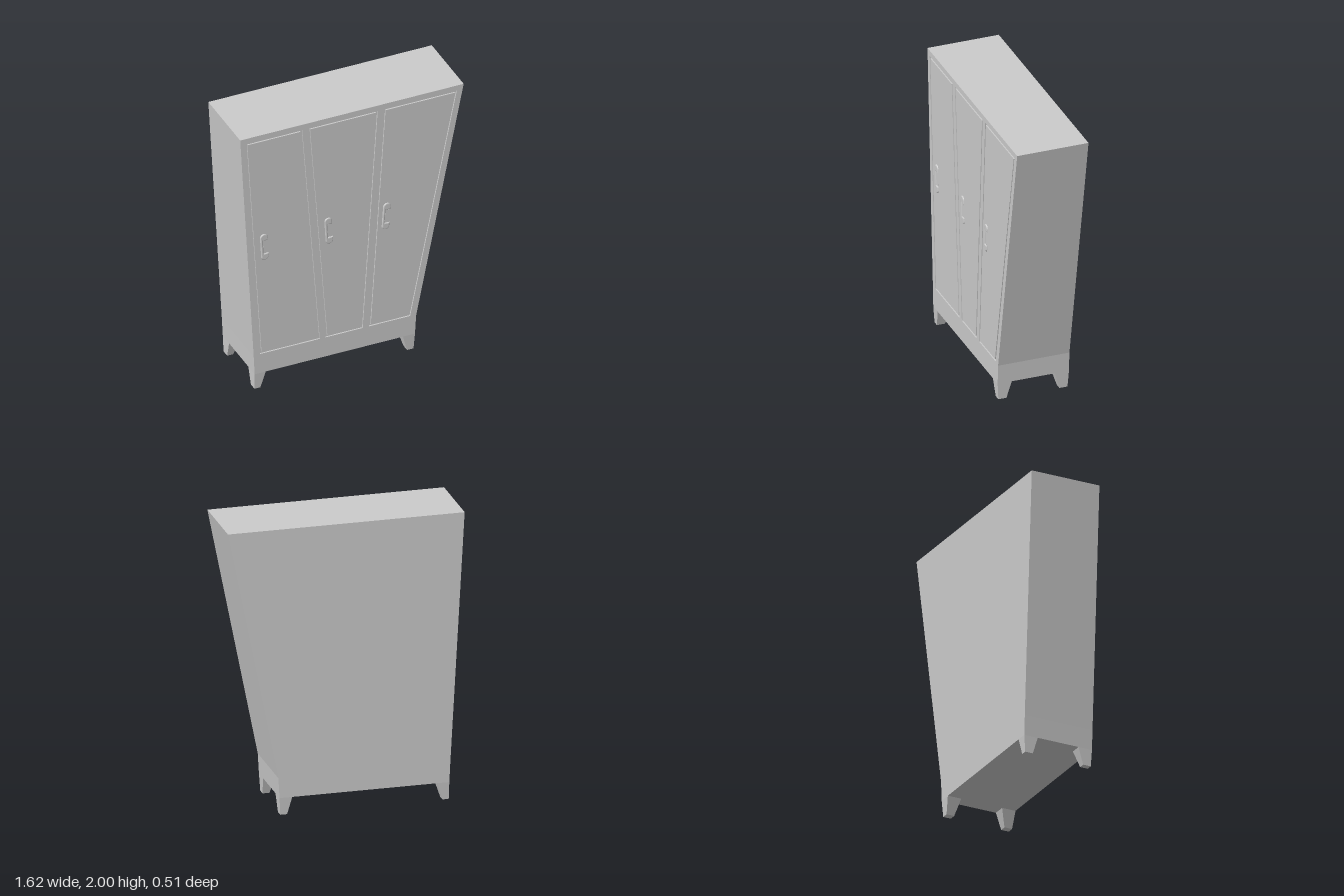
import * as THREE from 'three';

const BACK = -0.26, FRONT = 0.245, GROOVE = 0.012;
const material = new THREE.MeshStandardMaterial({ color: 0xcccccc });

function add(parent, name, geometry) {
  const mesh = new THREE.Mesh(geometry, material);
  mesh.name = name;
  parent.add(mesh);
  return mesh;
}

const toShape = (pts) => new THREE.Shape(pts.map(([x, y]) => new THREE.Vector2(x, y)));

// Flat slab of an outline between two depths
function slab(shape, z0, z1) {
  const g = new THREE.ExtrudeGeometry(shape, { depth: z1 - z0, bevelEnabled: false });
  return g.translate(0, 0, z0);
}

// Box whose bottom and top rectangles differ: [x0, x1, z0, z1]
function taperedBox(bottom, top, y0, y1) {
  const g = new THREE.BoxGeometry(1, 1, 1);
  const p = g.attributes.position;
  for (let i = 0; i < p.count; i++) {
    const up = p.getY(i) > 0, r = up ? top : bottom;
    p.setXYZ(i, p.getX(i) < 0 ? r[0] : r[1], up ? y1 : y0, p.getZ(i) < 0 ? r[2] : r[3]);
  }
  g.computeVertexNormals();
  return g;
}

// Door corners: top left, top right, bottom right, bottom left
function doorOutline([tl, tr, br, bl], inset) {
  const top = 1.96 - inset, bottom = 0.27 + inset;
  return [[bl + inset, bottom], [br - inset, bottom], [tr - inset, top], [tl + inset, top]];
}

// C-shaped pull: a rounded bar with a notch open towards +x
function handleGeometry() {
  const r = 0.028, h = 0.075, n = 0.05, inner = -0.008;
  const s = new THREE.Shape();
  s.moveTo(-r, -h);
  s.lineTo(-r, h);
  s.absarc(0, h, r, Math.PI, 0, true);
  s.lineTo(r, n);
  s.lineTo(inner, n);
  s.lineTo(inner, -n);
  s.lineTo(r, -n);
  s.lineTo(r, -h);
  s.absarc(0, -h, r, 0, -Math.PI, true);
  return new THREE.ExtrudeGeometry(s, {
    depth: 0.008, bevelEnabled: true, bevelThickness: 0.01, bevelSize: 0.009,
    bevelOffset: -0.009, bevelSegments: 5, curveSegments: 16,
  });
}

export function createModel() {
  const model = new THREE.Group();
  model.name = 'wardrobe';

  // Crooked carcass, flaring towards the top
  const outline = [[-0.705, 0.12], [0.457, 0.12], [0.465, 0.26], [0.81, 2], [-0.81, 2], [-0.712, 0.26]];
  add(model, 'carcass', slab(toShape(outline), BACK, FRONT - 0.01));

  const doors = [
    { edges: [-0.77, -0.36, -0.233, -0.667], handle: [-0.635, 1.11], tilt: 0.055 },
    { edges: [-0.315, 0.187, 0.078, -0.19], handle: [-0.168, 1.11], tilt: 0.06 },
    { edges: [0.232, 0.76, 0.422, 0.125], handle: [0.248, 1.11], tilt: -0.07 },
  ];

  // Face frame with door openings
  const frame = toShape(outline);
  for (const d of doors) frame.holes.push(toShape(doorOutline(d.edges, 0)));
  add(model, 'faceFrame', slab(frame, FRONT - 0.01, FRONT));

  // Doors set into the openings, leaving a narrow groove around each
  const pull = handleGeometry();
  doors.forEach((d, i) => {
    const door = new THREE.Group();
    door.name = `door${i + 1}`;
    model.add(door);
    add(door, 'doorPanel', slab(toShape(doorOutline(d.edges, GROOVE)), FRONT - 0.01, FRONT));
    const handle = add(door, 'handle', pull);
    handle.position.set(d.handle[0], d.handle[1], FRONT - 0.011);
    handle.rotation.z = d.tilt;
    // Thin plate in the notch of the handle
    const plate = add(handle, 'handlePlate', new THREE.BoxGeometry(0.026, 0.1, 0.004));
    plate.position.set(0.005, 0, 0.01);
  });

  // Tapered feet at the four corners
  const sides = [
    { name: 'right', bottom: [-0.703, -0.66], top: [-0.705, -0.625] },
    { name: 'left', bottom: [0.403, 0.45], top: [0.37, 0.457] },
  ];
  const ends = [
    { name: 'Front', bottom: [0.18, 0.237], top: [0.145, FRONT] },
    { name: 'Back', bottom: [-0.252, -0.195], top: [BACK, -0.16] },
  ];
  for (const s of sides) for (const e of ends) {
    add(model, `${s.name}${e.name}Foot`,
      taperedBox([...s.bottom, ...e.bottom], [...s.top, ...e.top], 0, 0.12));
  }
  return model;
}
